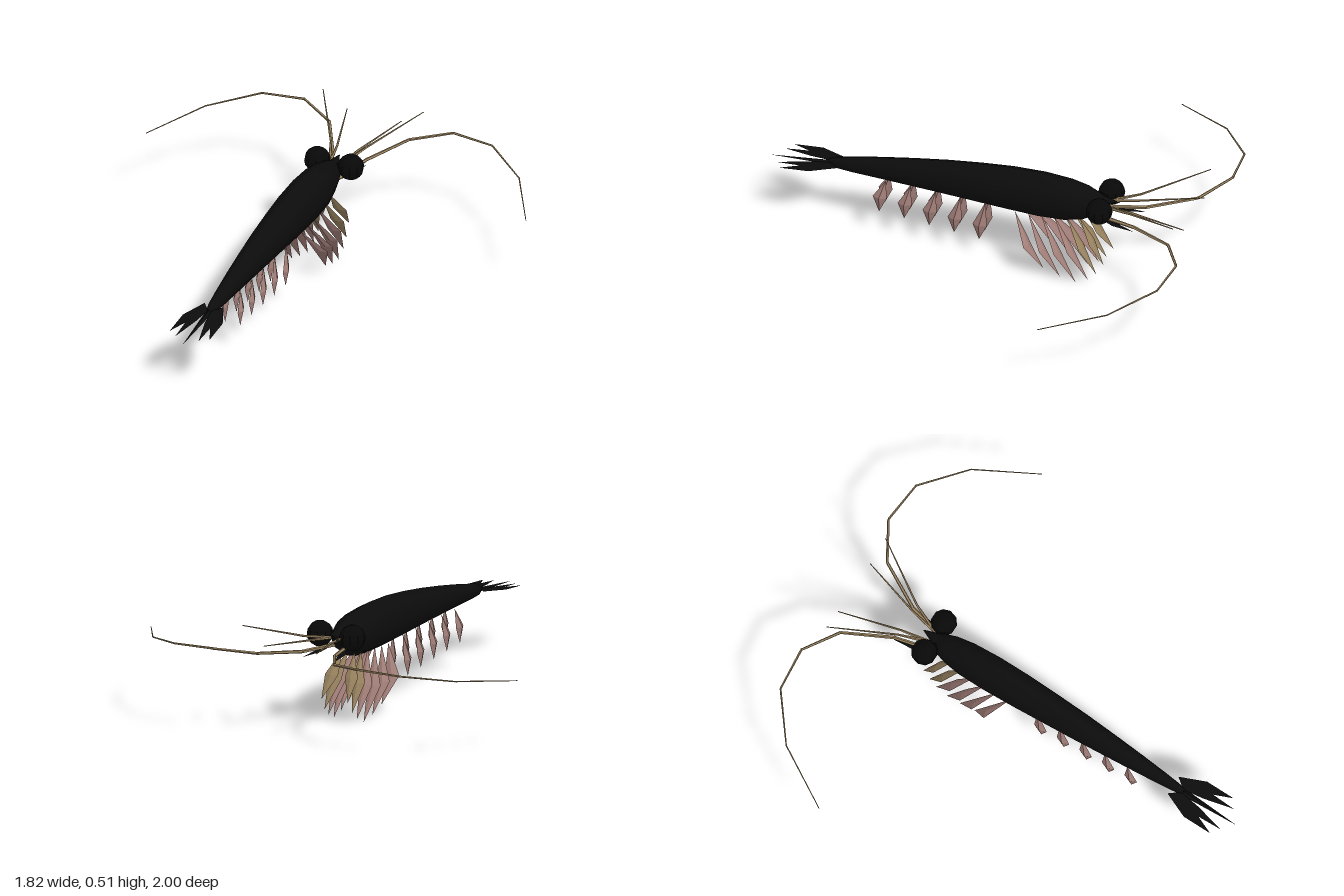
import * as THREE from 'three';
import { mergeGeometries } from 'three/addons/utils/BufferGeometryUtils.js';
import { ConvexGeometry } from 'three/addons/geometries/ConvexGeometry.js';

const V = (x, y, z) => new THREE.Vector3(x, y, z);

// Closed loft of ellipses along z; rows are [z, bottom, top, halfWidth]
function loft(rows, sides) {
  const pos = [], idx = [];
  for (const [z, bottom, top, w] of rows)
    for (let j = 0; j < sides; j++) {
      const a = (j / sides) * Math.PI * 2;
      pos.push(w * Math.cos(a), (top + bottom) / 2 + ((top - bottom) / 2) * Math.sin(a), z);
    }
  for (let i = 0; i < rows.length - 1; i++)
    for (let j = 0; j < sides; j++) {
      const a = i * sides + j, b = i * sides + ((j + 1) % sides);
      idx.push(a, b, a + sides, b, b + sides, a + sides);
    }
  // End caps
  const last = (rows.length - 1) * sides;
  for (let j = 1; j < sides - 1; j++) idx.push(0, j + 1, j, last, last + j, last + j + 1);
  const g = new THREE.BufferGeometry();
  g.setAttribute('position', new THREE.Float32BufferAttribute(pos, 3));
  g.setIndex(idx);
  g.computeVertexNormals();
  return g;
}

// Tapering feeler made of straight segments
function feeler(points, r0, r1) {
  const n = points.length - 1, parts = [];
  for (let i = 0; i < n; i++) {
    const dir = points[i + 1].clone().sub(points[i]);
    const ra = r0 + ((r1 - r0) * i) / n, rb = r0 + ((r1 - r0) * (i + 1)) / n;
    const g = new THREE.CylinderGeometry(rb, ra, dir.length(), 5);
    g.applyQuaternion(new THREE.Quaternion().setFromUnitVectors(V(0, 1, 0), dir.clone().normalize()));
    const mid = points[i].clone().add(points[i + 1]).multiplyScalar(0.5);
    g.translate(mid.x, mid.y, mid.z);
    parts.push(g);
  }
  return mergeGeometries(parts);
}

// Spindle-shaped limb: root and tip points with a four-cornered middle
function limb(root, mid, tip, hx, hz) {
  return new ConvexGeometry([
    root, tip,
    V(mid.x - hx, mid.y, mid.z), V(mid.x + hx, mid.y, mid.z),
    V(mid.x, mid.y, mid.z - hz), V(mid.x, mid.y, mid.z + hz),
  ]);
}

export function createModel() {
  const model = new THREE.Group();
  const material = (name, color, extra = {}) => {
    const m = new THREE.MeshStandardMaterial({ color, ...extra });
    m.name = name;
    return m;
  };
  const shell = material('black shell', 0x0c0c0d, { side: THREE.DoubleSide });
  const eyeBlack = material('eye black', 0x080808, { flatShading: true });
  const tan = material('tan', 0x98825f, { flatShading: true });
  const pink = material('dusky pink', 0xa37f79, { flatShading: true });
  const add = (name, geometry, mat) => {
    const mesh = new THREE.Mesh(geometry, mat);
    mesh.name = name;
    model.add(mesh);
    return mesh;
  };

  // Body with pointed rostrum
  add('body', loft([
    [-0.595, 0.415, 0.42, 0.002],
    [-0.53, 0.375, 0.425, 0.03],
    [-0.5, 0.325, 0.44, 0.05],
    [-0.45, 0.295, 0.462, 0.066],
    [-0.37, 0.273, 0.478, 0.078],
    [-0.25, 0.265, 0.486, 0.082],
    [-0.1, 0.268, 0.48, 0.079],
    [0.05, 0.273, 0.463, 0.072],
    [0.2, 0.278, 0.441, 0.064],
    [0.35, 0.281, 0.415, 0.053],
    [0.5, 0.283, 0.386, 0.041],
    [0.62, 0.284, 0.36, 0.03],
    [0.7, 0.288, 0.341, 0.021],
    [0.73, 0.303, 0.326, 0.01],
  ], 8), shell);

  // Flat tail pieces, drawn in (x, z) and sloped slightly down
  const tailPlate = (name, pts) => {
    const g = new THREE.ShapeGeometry(new THREE.Shape(pts.map(([x, z]) => new THREE.Vector2(x, z))));
    g.rotateX(Math.PI / 2 + 0.1);
    g.translate(0, 0.385, 0.005);
    add(name, g, shell);
  };
  add('telson', new ConvexGeometry([
    V(-0.018, 0.31, 0.7), V(0.018, 0.31, 0.7), V(0, 0.32, 0.72), V(0, 0.3, 0.72), V(0, 0.282, 1),
  ]), shell);

  for (const s of [-1, 1]) {
    const side = s > 0 ? 'left' : 'right';
    const P = (x, y, z) => V(s * x, y, z);

    tailPlate(side + 'OuterTailFan', [[0.008, 0.72], [0.045, 0.675], [0.095, 0.79], [0.095, 0.925], [0.05, 0.82]].map(([x, z]) => [s * x, z]));
    tailPlate(side + 'InnerTailFan', [[0.005, 0.71], [0.03, 0.72], [0.06, 0.83], [0.055, 0.952], [0.022, 0.82]].map(([x, z]) => [s * x, z]));

    // Eyes and stalks
    add(side + 'Eye', new THREE.SphereGeometry(0.058, 10, 8), eyeBlack).position.set(s * 0.08, 0.405, -0.542);
    add(side + 'EyeStalk', feeler([P(0.01, 0.4, -0.5), P(0.07, 0.405, -0.54)], 0.022, 0.022), eyeBlack);

    // Long sweeping antennae, and the scale at their base
    add(side + 'Antenna', feeler([
      P(0.03, 0.35, -0.5), P(0.08, 0.36, -0.7), P(0.19, 0.385, -0.9), P(0.355, 0.408, -0.997),
      P(0.55, 0.4, -0.98), P(0.75, 0.366, -0.825), P(0.907, 0.328, -0.56),
    ], 0.009, 0.002), tan);
    add(side + 'AntennaScale', limb(P(0.035, 0.35, -0.5), P(0.06, 0.34, -0.6), P(0.08, 0.335, -0.7), 0.016, 0.004), shell);

    // Short paired feelers
    add(side + 'UpperFeeler', feeler([P(0.025, 0.395, -0.55), P(0.08, 0.425, -0.68), P(0.24, 0.513, -0.94)], 0.008, 0.002), tan);
    add(side + 'LowerFeeler', feeler([P(0.025, 0.395, -0.55), P(0.05, 0.41, -0.68), P(0.13, 0.437, -0.95)], 0.008, 0.002), tan);

    // Thoracic legs, raked forward; the two nearest the head are tan
    const tips = [[-0.285, 0.045], [-0.362, 0.015], [-0.432, 0], [-0.487, 0.025], [-0.525, 0.06], [-0.557, 0.115]];
    tips.forEach(([tz, ty], i) => {
      const rz = -0.135 - i * 0.06, ry = 0.28 + i * 0.006;
      const outer = 0.126 - i * 0.009;
      const mid = P(outer - 0.032, ry + (ty - ry) * 0.5, rz + (tz - rz) * 0.5);
      add(side + 'Leg' + (i + 1), limb(P(0.03, ry, rz), mid, P(0.08 - i * 0.003, ty, tz), 0.032, 0.011), i < 4 ? pink : tan);
    });

    // Swimmerets under the abdomen
    for (let i = 0; i < 5; i++) {
      const z = 0.46 - i * 0.115, tip = 0.13 - i * 0.009;
      add(side + 'Swimmeret' + (i + 1), limb(P(0.025, 0.29, z), P(0.037, tip + 0.075, z + 0.024), P(0.036, tip, z + 0.027), 0.013, 0.032), pink);
    }
  }
  return model;
}
